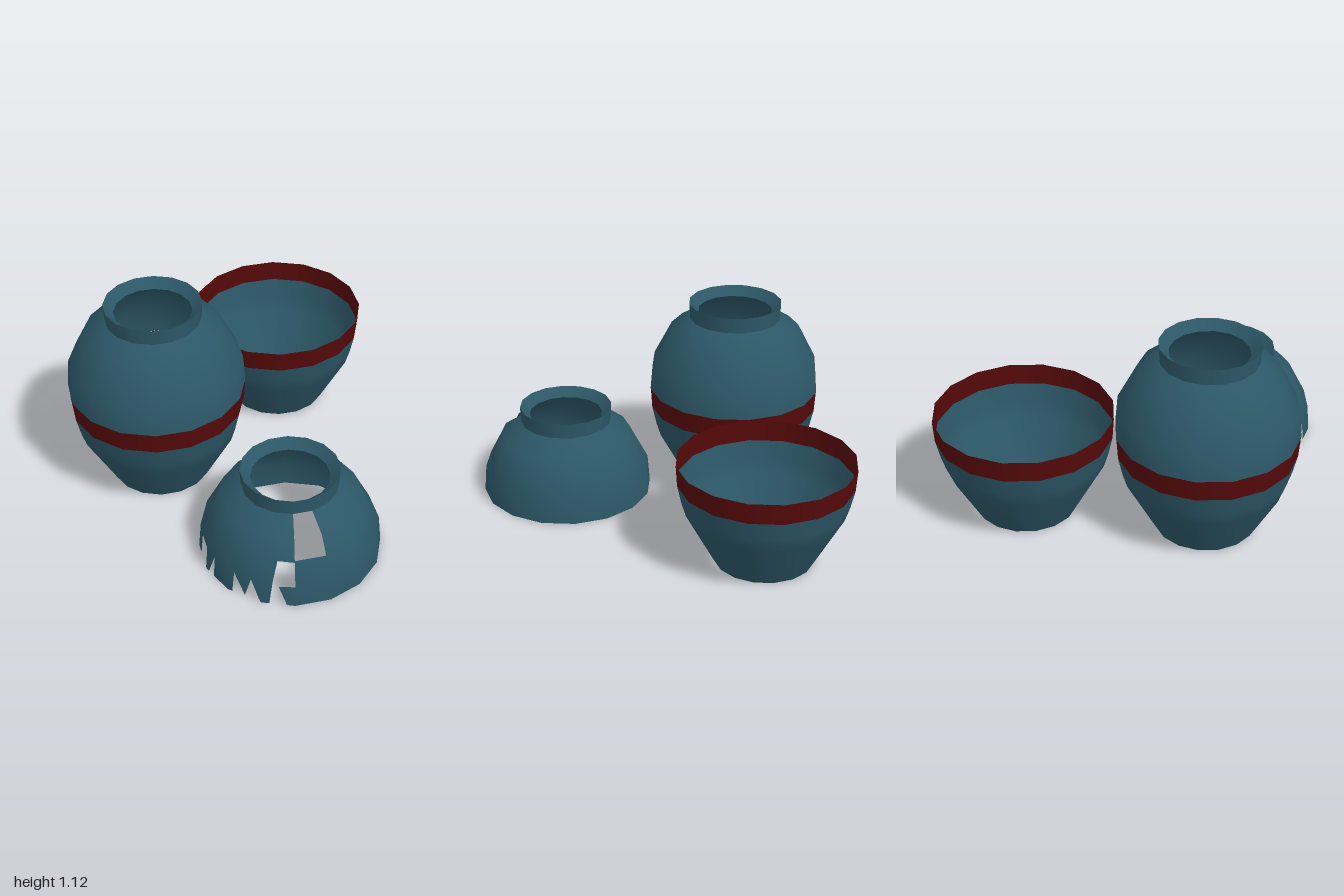
import * as THREE from 'three';

const SIDES = 16;
const STEP = 360 / SIDES;
const glaze = new THREE.MeshStandardMaterial({ color: 0x2c5767, side: THREE.DoubleSide });
glaze.name = 'teal glaze';
const band = new THREE.MeshStandardMaterial({ color: 0x540909, side: THREE.DoubleSide });
band.name = 'dark red band';

// Profiles as [radius, height], rising so that they face outward
const lower = [[0.28, 0], [0.438, 0.29], [0.463, 0.37], [0.488, 0.48]];
const stripe = [[0.488, 0.48], [0.496, 0.6]];
const upper = [[0.498, 0.6], [0.485, 0.755], [0.38, 0.96], [0.265, 1.035]];

function addMesh(parent, name, geometry, material) {
  const mesh = new THREE.Mesh(geometry, material);
  mesh.name = name;
  parent.add(mesh);
}

function wall(parent, name, profile, material) {
  const points = profile.map(([r, y]) => new THREE.Vector2(r, y));
  addMesh(parent, name, new THREE.LatheGeometry(points, SIDES), material);
}

// Lower half shared by the jar and the bowl, open at the foot
function addBowl(parent) {
  wall(parent, 'lowerWall', lower, glaze);
  wall(parent, 'redBand', stripe, band);
}

// Collar with a shallow funnel-shaped mouth
function addNeck(parent) {
  wall(parent, 'neckOutside', [[0.265, 1.035], [0.27, 1.125]], glaze);
  wall(parent, 'neckMouth', [[0.27, 1.125], [0.215, 1.075]], glaze);
  wall(parent, 'neckUnderside', [[0.215, 1.075], [0.265, 1.035]], glaze);
}

// Broken edges as [angle in degrees from +x towards +z, height]
const brokenEdge = [
  [0, 0], [45, 0], [45.01, 0.25], [57, 0.25], [59, 0.155], [61, 0],
  [66.2, 0], [73.4, 0.13], [77.4, 0.01], [85.8, 0.13], [86.5, 0],
  [104.5, 0], [105, 0.13], [110, 0],
  [114, 0], [114.3, 0.13], [127.7, 0.13], [128, 0], [360, 0],
];
const rim = [[0, 0.435], [360, 0.435]];
const tipBottom = [[45, 0], [50, 0], [55, 0.11]];
const tipTop = [[45, 0.125], [55, 0.115]];

function heightAt(edge, angle) {
  const i = Math.max(1, edge.findIndex(e => angle <= e[0]));
  const [a0, h0] = edge[i - 1];
  const [a1, h1] = edge[i];
  return h0 + (h1 - h0) * (angle - a0) / (a1 - a0);
}

// Shoulder profile standing on the ground, with the slope normal at each point
const brokenProfile = upper.map(([r, y]) => [r, y - 0.6]);
brokenProfile.splice(2, 0, [0.432, 0.258]);
const slopes = brokenProfile.map((_, i) => {
  const [r0, y0] = brokenProfile[Math.max(i - 1, 0)];
  const [r1, y1] = brokenProfile[Math.min(i + 1, brokenProfile.length - 1)];
  return new THREE.Vector2(y1 - y0, r0 - r1).normalize();
});

// Faceted wall between two broken edges, leaving out one shoulder panel
function brokenWall(low, high) {
  const start = low[0][0], end = low[low.length - 1][0];
  const angles = new Set(low.map(e => e[0]));
  for (let a = 0; a <= 360; a += STEP) if (a > start && a < end) angles.add(a);
  const columns = [...angles].sort((a, b) => a - b);
  const positions = [], normals = [];

  const addVertex = (angle, t, k) => {
    const [r0, y0] = brokenProfile[k], [r1, y1] = brokenProfile[k + 1];
    const offset = THREE.MathUtils.degToRad((angle % STEP) - STEP / 2);
    const r = (r0 + (r1 - r0) * t) * Math.cos(Math.PI / SIDES) / Math.cos(offset);
    const a = THREE.MathUtils.degToRad(angle);
    const n = slopes[k].clone().lerp(slopes[k + 1], t).normalize();
    positions.push(r * Math.cos(a), y0 + (y1 - y0) * t, r * Math.sin(a));
    normals.push(n.x * Math.cos(a), n.y, n.x * Math.sin(a));
  };

  for (let c = 0; c < columns.length - 1; c++) {
    const a0 = columns[c], a1 = columns[c + 1];
    for (let k = 0; k < brokenProfile.length - 1; k++) {
      const y0 = brokenProfile[k][1], y1 = brokenProfile[k + 1][1];
      if (a0 >= STEP && a1 <= 2 * STEP && y0 > 0.25) continue;
      const cut = (edge, a) =>
        THREE.MathUtils.clamp((heightAt(edge, a) - y0) / (y1 - y0), 0, 1);
      const A = [a0, cut(low, a0), k], B = [a1, cut(low, a1), k];
      const C = [a1, cut(high, a1), k], D = [a0, cut(high, a0), k];
      if (A[1] < D[1]) [A, D, C].forEach(v => addVertex(...v));
      if (B[1] < C[1]) [A, C, B].forEach(v => addVertex(...v));
    }
  }
  const geometry = new THREE.BufferGeometry();
  geometry.setAttribute('position', new THREE.Float32BufferAttribute(positions, 3));
  geometry.setAttribute('normal', new THREE.Float32BufferAttribute(normals, 3));
  return geometry;
}

function pot(parent, name, x, z) {
  const group = new THREE.Group();
  group.name = name;
  group.position.set(x, 0, z);
  parent.add(group);
  return group;
}

export function createModel() {
  const model = new THREE.Group();
  model.name = 'pottery';

  // Whole jar
  const jar = pot(model, 'wholeJar', -0.503, 0.497);
  addBowl(jar);
  wall(jar, 'shoulder', upper, glaze);
  addNeck(jar);

  // Open lower half behind the jar
  addBowl(pot(model, 'halfBowl', -0.505, -0.505));

  // Broken top half resting on its edge
  const shard = pot(model, 'brokenTop', 0.5, 0.497);
  addMesh(shard, 'brokenWall', brokenWall(brokenEdge, rim), glaze);
  addMesh(shard, 'brokenTip', brokenWall(tipBottom, tipTop), glaze);
  const neck = new THREE.Group();
  neck.name = 'brokenTopNeck';
  neck.position.y = -0.6;
  addNeck(neck);
  shard.add(neck);

  return model;
}
